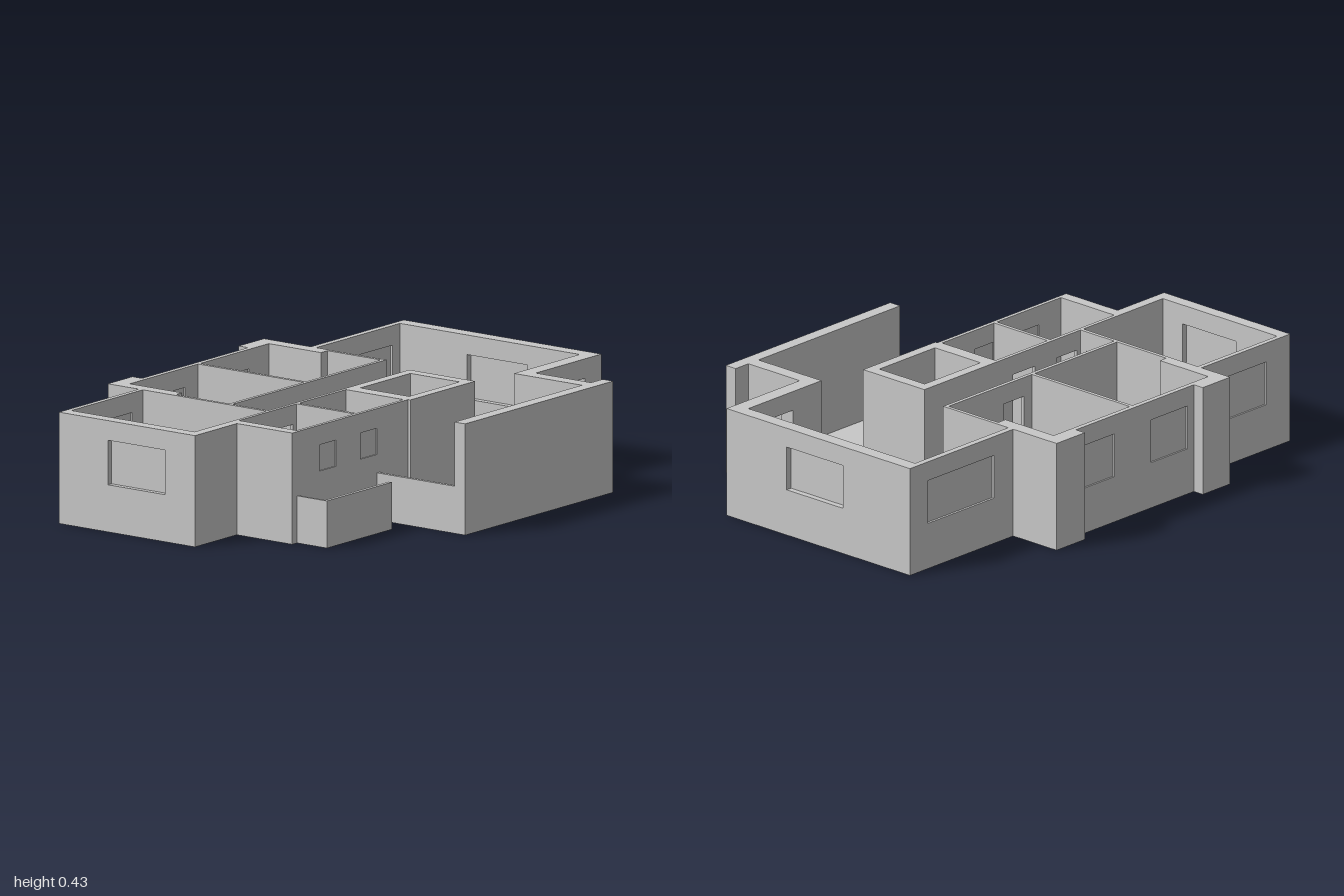
import * as THREE from 'three';

const H = 0.425;       // wall height
const SLAB = 0.025;    // floor thickness
const SILL = 0.18, HEAD = 0.35;

export function createModel() {
  const model = new THREE.Group();
  model.name = 'floorPlanHouse';
  const grey = new THREE.MeshStandardMaterial({ color: 0xc8c8c8 });
  grey.name = 'plaster grey';

  function box(parent, name, x0, x1, y0, y1, z0, z1) {
    const mesh = new THREE.Mesh(new THREE.BoxGeometry(x1 - x0, y1 - y0, z1 - z0), grey);
    mesh.position.set((x0 + x1) / 2, (y0 + y1) / 2, (z0 + z1) / 2);
    mesh.name = name;
    parent.add(mesh);
  }

  // Wall over a plan rectangle; each opening is [start, end, bottom, top, hasPane] along its long axis
  function wall(name, x0, x1, z0, z1, openings = [], height = H) {
    const group = new THREE.Group();
    group.name = name;
    model.add(group);
    const alongX = x1 - x0 > z1 - z0;
    const piece = (part, a, b, y0, y1, inset = 0) => alongX
      ? box(group, part, a, b, y0, y1, z0 + inset, z1 - inset)
      : box(group, part, x0 + inset, x1 - inset, y0, y1, a, b);
    const thickness = alongX ? z1 - z0 : x1 - x0;
    let at = alongX ? x0 : z0;
    for (const [a, b, bottom, top, pane] of openings) {
      piece('wallPanel', at, a, 0, height);
      piece('wallBelowOpening', a, b, 0, bottom);
      piece('wallAboveOpening', a, b, top, height);
      if (pane) piece('windowPane', a, b, bottom, top, (thickness - 0.006) / 2);
      at = b;
    }
    piece('wallPanel', at, alongX ? x1 : z1, 0, height);
  }
  const win = (a, b, bottom = SILL) => [a, b, bottom, HEAD, true];
  const door = (a, b) => [a, b, SLAB, HEAD, false];

  // Floor slab following the outer outline, as x, z pairs
  const outline = [
    [-1, -0.59], [-0.515, -0.59], [-0.515, -0.735], [-0.365, -0.735], [-0.365, -0.69],
    [0.28, -0.69], [0.28, -0.735], [0.435, -0.735], [0.435, -0.515], [1, -0.515],
    [1, 0.415], [0.6, 0.415], [0.6, 0.675], [0.67, 0.675], [0.67, 0.725], [-0.23, 0.725],
    [-0.23, 0.31], [-0.32, 0.31], [-0.32, 0.45], [-0.715, 0.45], [-0.715, 0.31],
    [-0.745, 0.31], [-0.745, 0.05], [-1, 0.05],
  ];
  const slab = new THREE.ExtrudeGeometry(
    new THREE.Shape(outline.map(([x, z]) => new THREE.Vector2(x, -z))),
    { depth: SLAB, bevelEnabled: false });
  slab.rotateX(-Math.PI / 2);
  const floor = new THREE.Mesh(slab, grey);
  floor.name = 'floorSlab';
  model.add(floor);

  // Left room
  wall('leftRoomOuterWall', -1, -0.95, -0.59, 0.05, [win(-0.36, -0.09)]);
  wall('leftRoomBackWall', -0.95, -0.515, -0.59, -0.57, [win(-0.87, -0.58)]);
  wall('leftRoomFrontWall', -0.95, -0.7, 0.01, 0.05);
  wall('leftRoomInnerWall', -0.515, -0.5, -0.425, 0.025, [door(-0.14, -0.02)]);

  // Two back bedrooms with corner pillars
  wall('bedroomBackWall', -0.465, 0.38, -0.69, -0.67, [win(-0.33, -0.13), win(0.07, 0.26)]);
  wall('bedroomLeftWall', -0.515, -0.465, -0.69, -0.425);
  wall('bedroomRightWall', 0.38, 0.435, -0.69, -0.425);
  wall('bedroomRightThinWall', 0.42, 0.435, -0.425, -0.16);
  wall('bedroomDivider', -0.05, -0.035, -0.67, -0.175);
  wall('corridorWall', -0.5, 0.42, -0.175, -0.16, [door(-0.2, -0.09), door(0.01, 0.12)]);
  wall('leftPillar', -0.515, -0.365, -0.735, -0.69);
  wall('rightPillar', 0.28, 0.435, -0.735, -0.69);

  // Living room
  wall('livingBackWall', 0.435, 0.945, -0.515, -0.49, [win(0.54, 0.9)]);
  wall('livingSideWall', 0.945, 1, -0.515, 0.415, [win(-0.175, 0.11)]);
  wall('entranceWall', 0.545, 0.945, 0.355, 0.415, [door(0.7, 0.9)]);
  wall('livingReturnWall', 0.545, 0.6, 0.415, 0.675);
  wall('livingFrontWall', -0.23, 0.67, 0.675, 0.725);
  wall('livingParapet', -0.23, -0.215, 0.31, 0.675, [], SILL);

  // Small front rooms
  wall('smallRoomLeftWall', -0.745, -0.7, 0.01, 0.31);
  wall('smallRoomBackWall', -0.7, -0.04, 0.01, 0.025, [door(-0.48, -0.37), door(-0.25, -0.13)]);
  wall('smallRoomFrontWall', -0.7, -0.04, 0.295, 0.31,
    [win(-0.58, -0.48, 0.25), win(-0.33, -0.23, 0.25)]);
  wall('smallRoomDivider', -0.35, -0.335, 0.025, 0.295);
  wall('smallRoomRightWall', -0.05, -0.04, 0.025, 0.295);

  // Central shaft
  wall('shaftLeftWall', -0.04, 0.005, 0.01, 0.32);
  wall('shaftRightWall', 0.31, 0.355, 0.01, 0.32);
  wall('shaftBackWall', 0.005, 0.31, 0.01, 0.05);
  wall('shaftFrontWall', 0.005, 0.31, 0.28, 0.32);

  // Terrace parapet
  wall('terraceFrontParapet', -0.715, -0.32, 0.435, 0.45, [], SILL);
  wall('terraceSideParapet', -0.715, -0.705, 0.31, 0.435, [], SILL);

  return model;
}
